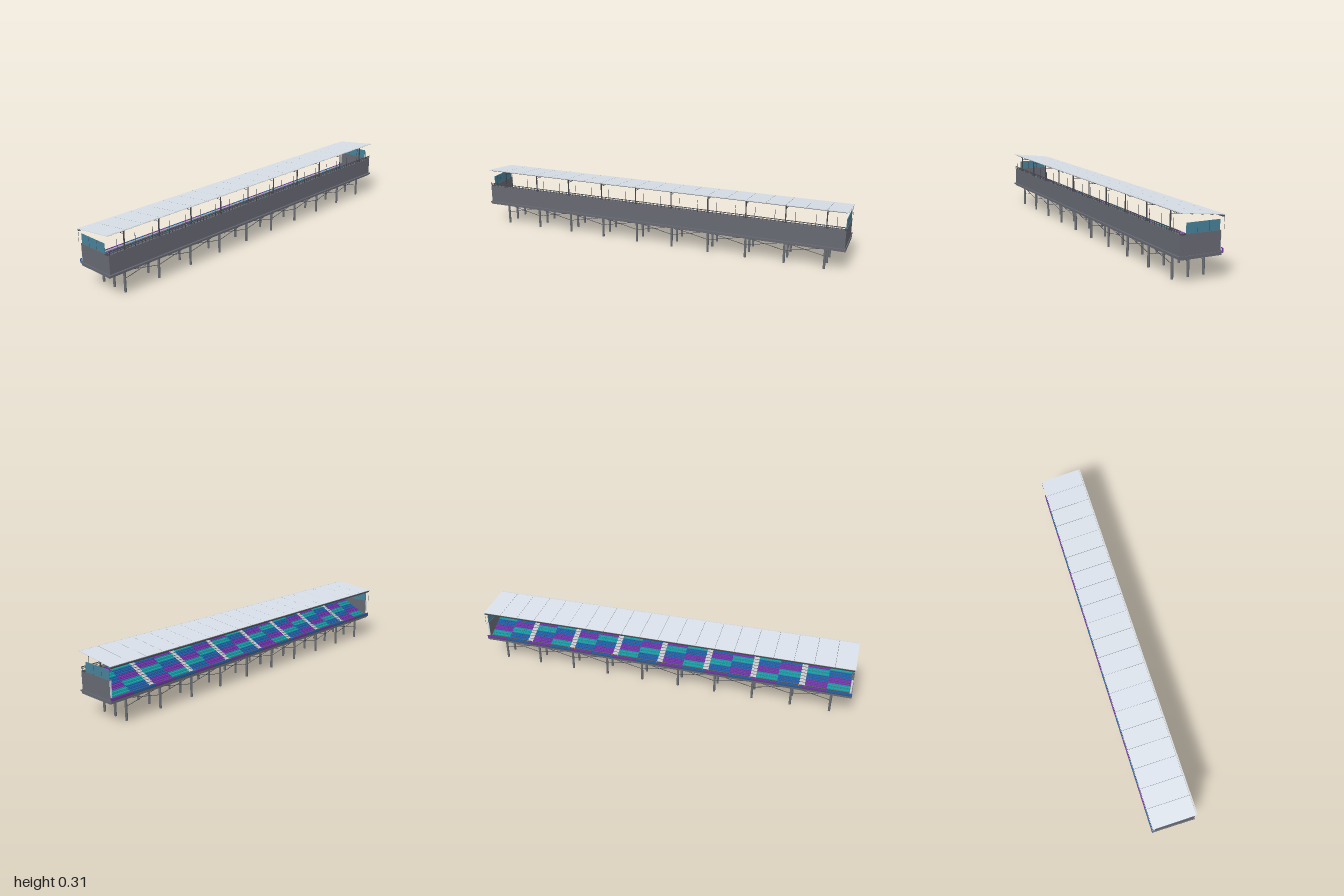
import * as THREE from 'three';
import { mergeGeometries } from 'three/addons/utils/BufferGeometryUtils.js';

const mat = (name, color) => {
  const m = new THREE.MeshStandardMaterial({ color });
  m.name = name;
  return m;
};

// Box given by its centre and size
const box = (x, y, z, w, h, d) => new THREE.BoxGeometry(w, h, d).translate(x, y, z);

// Thin square bar between two points
function bar(a, b, t) {
  const p = new THREE.Vector3(...a), q = new THREE.Vector3(...b);
  const dir = q.clone().sub(p);
  const g = new THREE.BoxGeometry(t, dir.length(), t);
  g.applyQuaternion(new THREE.Quaternion().setFromUnitVectors(new THREE.Vector3(0, 1, 0), dir.normalize()));
  const c = p.add(q).multiplyScalar(0.5);
  return g.translate(c.x, c.y, c.z);
}

// Evenly spaced numbers from a to b
const steps = (a, b, n) => Array.from({ length: n }, (_, i) => a + (b - a) * i / (n - 1));

export function createModel() {
  const concrete = mat('concrete', 0x666871);
  const steel = mat('darkSteel', 0x46484f);
  const column = mat('columnGrey', 0x696d73);
  const roofGrey = mat('roofGrey', 0xd7dee7);
  const glass = mat('glassBlue', 0x478098);
  const aisleGrey = mat('aisleGrey', 0xd0d4d8);
  const seatMats = [mat('seatBlue', 0x1f5fae), mat('seatTeal', 0x14a2aa), mat('seatPurple', 0x7232b0)];
  const model = new THREE.Group();
  model.name = 'grandstand';
  const add = (name, parts, material) => {
    const mesh = new THREE.Mesh(mergeGeometries(parts), material);
    mesh.name = name;
    model.add(mesh);
  };

  // Columns and bracing below the deck
  const colX = [-0.08, 0, 0.08], colZ = steps(-0.9, 0.9, 10);
  const columns = [], braces = [];
  for (const x of colX) {
    colZ.forEach((z, i) => {
      columns.push(new THREE.CylinderGeometry(0.006, 0.006, 0.112, 12).translate(x, 0.056, z));
      if (i === 9) return;
      braces.push(bar([x, 0.066, z], [x, 0.108, z + 0.2], 0.002));
      braces.push(bar([x, 0.108, z], [x, 0.066, z + 0.2], 0.002));
    });
  }
  add('columns', columns, column);
  add('bracing', braces, steel);

  // Deck with ledges on both long sides
  add('deck', [
    box(0.002, 0.1175, 0, 0.206, 0.015, 1.998),
    box(-0.1, 0.123, 0, 0.02, 0.008, 2),
    box(0.107, 0.1225, 0, 0.014, 0.007, 2)
  ], concrete);
  add('frontWalkway', [box(-0.094, 0.1285, 0, 0.032, 0.003, 1.97)], steel);

  // Stepped terrace
  const rows = 10, x0 = -0.083, y0 = 0.133, run = 0.016, rise = 0.0081;
  const profile = new THREE.Shape();
  profile.moveTo(0.1, 0.124);
  profile.lineTo(x0, 0.124);
  for (let r = 0; r < rows; r++) {
    profile.lineTo(x0 + r * run, y0 + r * rise);
    profile.lineTo(x0 + (r + 1) * run, y0 + r * rise);
  }
  profile.lineTo(x0 + rows * run, 0.216);
  profile.lineTo(0.1, 0.216);
  profile.closePath();
  add('terrace', [new THREE.ExtrudeGeometry(profile, { depth: 1.98, bevelEnabled: false }).translate(0, 0, -0.99)], concrete);

  // Back and end walls with end glazing
  const walls = [box(0.1025, 0.1705, 0, 0.005, 0.095, 1.99)];
  const panes = [], mullions = [], trims = [];
  for (const s of [-1, 1]) {
    walls.push(box(0.0035, 0.171, s * 0.991, 0.203, 0.094, 0.008));
    trims.push(box(-0.099, 0.178, s * 0.991, 0.002, 0.078, 0.0086));
    for (let i = 0; i < 3; i++) {
      panes.push(box(-0.067 + i * 0.056, 0.2415, s * 0.991, 0.0545, 0.047, 0.003));
    }
    for (const x of [-0.039, 0.017]) mullions.push(box(x, 0.2415, s * 0.991, 0.0015, 0.047, 0.0035));
    mullions.push(box(0.09, 0.217, s * 0.99, 0.026, 0.004, 0.012));
  }
  add('walls', walls, concrete);
  add('wallTrims', trims, roofGrey);
  add('endGlazing', panes, glass);
  add('glazingMullions', mullions, steel);

  // Seats in eight sections, in bands of two rows that shift along the stand
  const seats = [[], [], []];
  const section = 0.25, perRow = 20, pitch = 0.011;
  for (let s = 0; s < 8; s++) {
    const zc = -0.875 + s * section;
    for (let r = 0; r < rows; r++) {
      const x = x0 + r * run, y = y0 + r * rise;
      for (let i = 0; i < perRow; i++) {
        const z = zc + (i - (perRow - 1) / 2) * pitch;
        const list = seats[(Math.floor(r / 2) + s + (i < perRow / 2 ? 1 : 0)) % 3];
        list.push(box(x + 0.0065, y + 0.0025, z, 0.012, 0.004, 0.0104));
        list.push(box(x + 0.012, y + 0.0065, z, 0.002, 0.006, 0.0104));
      }
    }
  }
  ['blueSeats', 'tealSeats', 'purpleSeats'].forEach((n, i) => add(n, seats[i], seatMats[i]));

  // Aisle stairs with half steps, and gates at their feet
  const treads = [], gates = [];
  for (let a = -3; a <= 3; a++) {
    const z = a * section;
    for (let r = 0; r < rows; r++) {
      const x = x0 + r * run, y = y0 + r * rise;
      treads.push(box(x + 0.0035, y + 0.0005, z, 0.009, 0.001, 0.029));
      treads.push(box(x + 0.012, y + 0.002, z, 0.008, 0.0045, 0.029));
    }
    for (const d of [-0.016, 0.016]) gates.push(box(-0.09, 0.133, z + d, 0.003, 0.006, 0.004));
  }
  add('aisleStairs', treads, aisleGrey);
  add('aisleGates', gates, mat('gateOrange', 0xd07a35));

  // Front barrier boards with a pale backing
  const boards = [[], []];
  for (let i = 0; i < 16; i++) {
    boards[(i + 1) % 2].push(box(-0.1075, 0.1335, -0.9375 + i * 0.125, 0.004, 0.013, 0.1248));
  }
  add('barrierBoards', boards[0], seatMats[0]);
  add('barrierAccentBoards', boards[1], seatMats[2]);
  add('barrierBacking', [box(-0.1045, 0.1325, 0, 0.001, 0.009, 1.99)], aisleGrey);

  // Back railing with tall poles
  const rail = [box(0.105, 0.234, 0, 0.004, 0.003, 1.99), box(0.105, 0.226, 0, 0.002, 0.002, 1.99)];
  for (const z of steps(-0.99, 0.99, 100)) rail.push(box(0.105, 0.226, z, 0.002, 0.016, 0.002));
  for (const z of steps(-0.95, 0.95, 20)) rail.push(box(0.1075, 0.25, z, 0.0015, 0.064, 0.002));
  add('backRailing', rail, steel);

  // Sloping roof panels with seams and gutter
  const roofY = x => 0.2845 + (x + 0.115) * 0.118;
  const slope = Math.atan(0.118);
  const tilted = (x, drop, z, w, h, d) =>
    new THREE.BoxGeometry(w, h, d).rotateZ(slope).translate(x, roofY(x) - drop, z);
  const panels = [], seams = [];
  for (let i = 0; i < 20; i++) {
    panels.push(tilted(-0.0065, 0, -0.95 + i * 0.1, 0.217, 0.002, 0.0985));
  }
  for (let i = 1; i < 20; i++) {
    seams.push(tilted(-0.0065, 0.0004, -1 + i * 0.1, 0.217, 0.002, 0.0016));
  }
  add('roofPanels', panels, roofGrey);
  add('roofSeams', seams, column);
  add('roofGutter', [tilted(0.1055, 0.0002, 0, 0.007, 0.002, 2)], aisleGrey);
  add('eaveBeam', [box(-0.11, 0.277, 0, 0.005, 0.006, 1.99)], steel);

  // Roof posts, trusses and purlins
  const posts = [], trusses = [], chords = [];
  const nodes = [-0.109, -0.058, -0.008, 0.042, 0.093];
  const top = x => roofY(x) - 0.003;
  const low = x => 0.275 + (x + 0.11) * 0.067;
  for (const z of colZ) {
    posts.push(box(0.093, 0.262, z, 0.005, 0.09, 0.005), box(0.093, 0.2175, z, 0.018, 0.003, 0.012));
    trusses.push(bar([-0.11, low(-0.11), z], [0.093, low(0.093), z], 0.0015));
    chords.push(bar([-0.112, top(-0.112), z], [0.1, top(0.1), z], 0.0025));
    for (let i = 0; i < 4; i++) {
      const a = nodes[i], b = nodes[i + 1], m = (a + b) / 2;
      trusses.push(bar([a, top(a), z], [m, low(m), z], 0.0015));
      trusses.push(bar([m, low(m), z], [b, top(b), z], 0.0015));
    }
  }
  for (const x of nodes) chords.push(box(x, top(x) - 0.0015, 0, 0.004, 0.004, 1.98));
  add('roofPosts', posts, steel);
  add('roofTrusses', trusses, steel);
  add('roofChordsAndPurlins', chords, column);

  // Slim drop rods at the eave ends
  add('eaveRods', [-1, 1].map(s => box(-0.114, 0.252, s * 0.995, 0.0012, 0.064, 0.0012)), column);
  return model;
}
